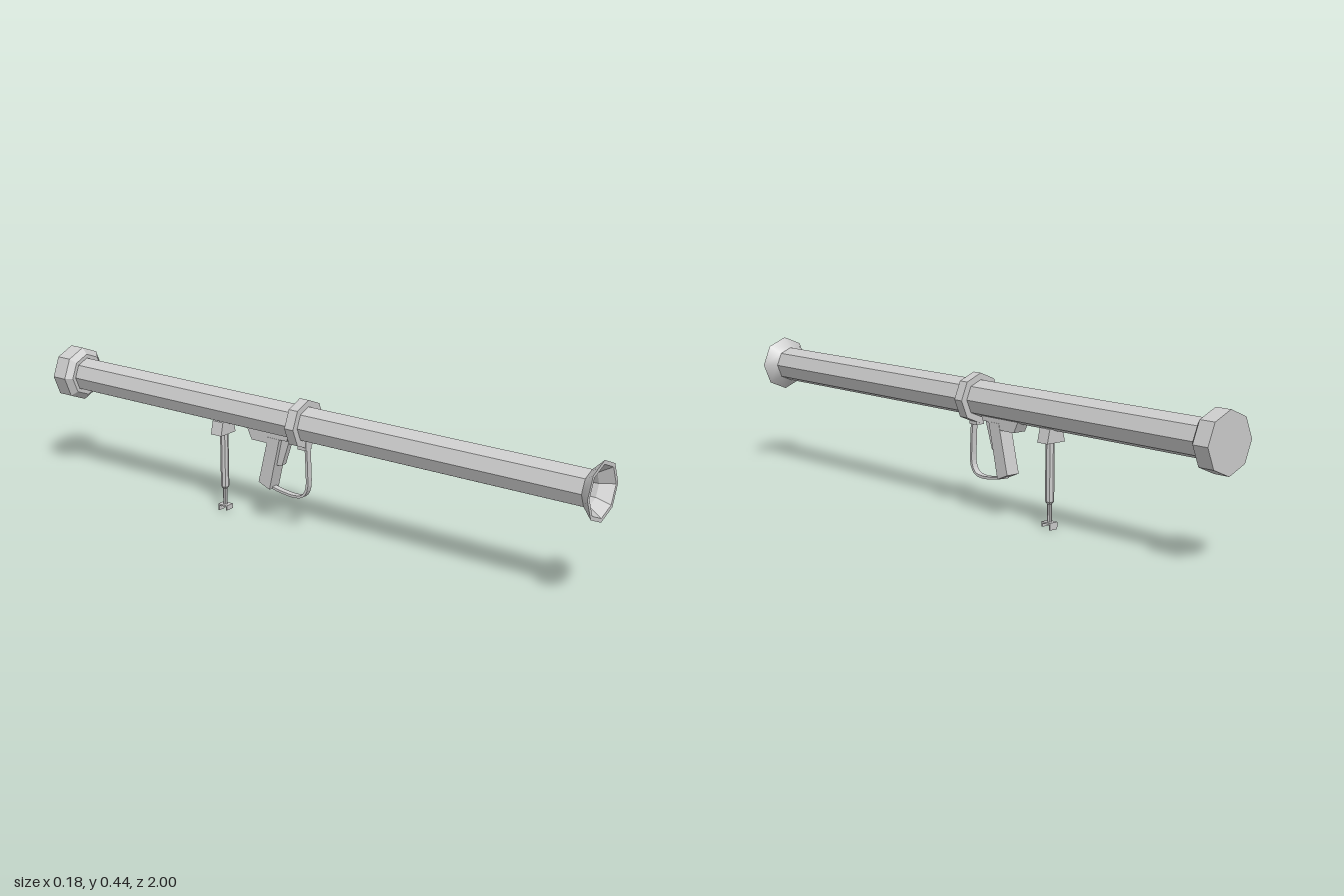
import * as THREE from 'three';

const AXIS_Y = 0.354;

export function createModel() {
  const root = new THREE.Group();
  const flat = new THREE.MeshStandardMaterial({ color: 0xcccccc, flatShading: true, side: THREE.DoubleSide });
  const smooth = new THREE.MeshStandardMaterial({ color: 0xcccccc, side: THREE.DoubleSide });

  const add = (name, geometry, material = flat) => {
    const mesh = new THREE.Mesh(geometry, material);
    mesh.name = name;
    root.add(mesh);
    return mesh;
  };

  // Eight-sided part turned about the barrel axis; points are [radius, z]
  const turned = (name, points, material) => {
    const geometry = new THREE.LatheGeometry(points.map(([r, z]) => new THREE.Vector2(r, z)), 8);
    geometry.rotateX(Math.PI / 2);
    add(name, geometry, material).position.y = AXIS_Y;
  };

  // Side profile of [z, y] points, extruded across x and centred
  const slab = (name, points, width) => {
    const shape = new THREE.Shape(points.map(([z, y]) => new THREE.Vector2(-z, y)));
    const geometry = new THREE.ExtrudeGeometry(shape, { depth: width, bevelEnabled: false });
    geometry.translate(0, 0, -width / 2).rotateY(Math.PI / 2);
    add(name, geometry);
  };

  // Barrel, rear cap, middle band and flared muzzle with its bore
  turned('barrel', [[0.057, -0.95], [0.057, 0.965]]);
  turned('rearCap', [[0, -1], [0.09, -1], [0.09, -0.948], [0.07, -0.93], [0.055, -0.93]]);
  turned('band', [[0.055, -0.028], [0.078, -0.028], [0.078, 0.005], [0.055, 0.005]]);
  turned('muzzleFlare', [[0.057, 0.965], [0.09, 1]], smooth);
  turned('muzzleBore', [[0.09, 1], [0.078, 1], [0.051, 0.962], [0.051, 0], [0, 0]]);

  // Grip with its mount and trigger
  slab('gripMount', [[-0.056, 0.308], [-0.218, 0.308], [-0.2, 0.272], [-0.13, 0.272], [-0.085, 0.292], [-0.062, 0.292]], 0.046);
  slab('grip', [[-0.09, 0.292], [-0.135, 0.292], [-0.173, 0.138], [-0.13, 0.12]], 0.048);
  slab('trigger', [[-0.06, 0.295], [-0.1, 0.295], [-0.112, 0.2], [-0.09, 0.205]], 0.02);

  // Trigger guard: a bent strip running from the band to the foot of the grip
  slab('guardBracket', [[0.006, 0.3], [-0.026, 0.3], [-0.026, 0.272], [0.006, 0.272]], 0.03);
  const guardPath = new THREE.CatmullRomCurve3([
    [0.29, 0.001], [0.21, 0.005], [0.145, 0.004], [0.12, -0.012], [0.112, -0.04], [0.115, -0.09], [0.126, -0.145],
  ].map(([y, z]) => new THREE.Vector3(0, y, z)));
  const strip = new THREE.Shape();
  strip.moveTo(-0.004, -0.01).lineTo(0.004, -0.01).lineTo(0.004, 0.01).lineTo(-0.004, 0.01);
  const guard = new THREE.ExtrudeGeometry(strip, { steps: 20, extrudePath: guardPath, bevelEnabled: false });
  // Set the strip's corners from the path directly so its broad side lies along x
  const outer = [], inner = [];
  for (let i = 0; i <= 20; i++) {
    const p = guardPath.getPoint(i / 20), t = guardPath.getTangent(i / 20);
    outer.push([p.z + t.y * -0.004, p.y + t.z * 0.004]);
    inner.unshift([p.z + t.y * 0.004, p.y - t.z * 0.004]);
  }
  guard.dispose();
  slab('triggerGuard', [...outer, ...inner], 0.02);

  // Rear support: wedge-sided bracket, telescoping post and clip foot
  const bracketShape = new THREE.Shape([
    [-0.026, 0.305], [-0.036, 0.262], [0.036, 0.262], [0.026, 0.305],
  ].map(([x, y]) => new THREE.Vector2(x, y)));
  const bracket = new THREE.ExtrudeGeometry(bracketShape, { depth: 0.042, bevelEnabled: false });
  add('supportBracket', bracket).position.z = -0.356;

  const post = new THREE.LatheGeometry([
    [0, 0.02], [0.007, 0.02], [0.007, 0.075], [0.0135, 0.083], [0.0135, 0.27],
  ].map(([r, y]) => new THREE.Vector2(r, y)), 8);
  add('supportPost', post).position.z = -0.331;
  slab('supportFoot', [
    [-0.313, 0.022], [-0.349, 0.022], [-0.349, 0], [-0.345, 0], [-0.345, 0.017], [-0.317, 0.017], [-0.317, 0.006], [-0.313, 0.006],
  ], 0.03);

  return root;
}
